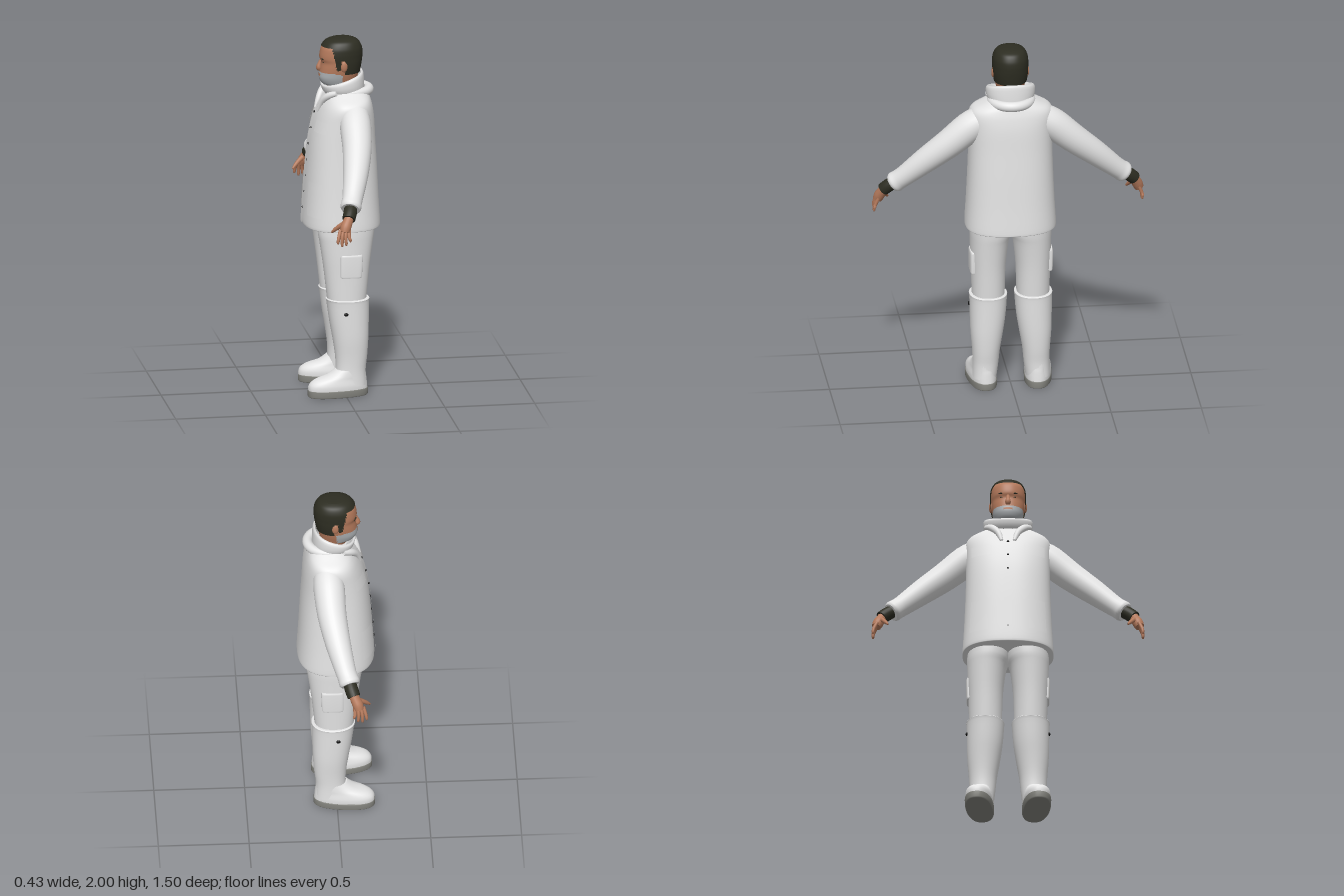
import * as THREE from 'three';

const mat = (name, color) => Object.assign(new THREE.MeshStandardMaterial({ color }), { name });

// Catmull-Rom subdivision of rows of numbers
function refine(rows, sub) {
  if (sub < 2) return rows;
  const out = [];
  for (let i = 0; i < rows.length - 1; i++) {
    const a = rows[Math.max(i - 1, 0)], b = rows[i], c = rows[i + 1], d = rows[Math.min(i + 2, rows.length - 1)];
    for (let k = 0; k < sub; k++) {
      const t = k / sub;
      out.push(b.map((_, j) => {
        const cubic = 3 * (b[j] - c[j]) + d[j] - a[j];
        const square = 2 * a[j] - 5 * b[j] + 4 * c[j] - d[j];
        return b[j] + 0.5 * t * (c[j] - a[j] + t * (square + t * cubic));
      }));
    }
  }
  out.push(rows[rows.length - 1]);
  return out;
}

// Skin a list of rings; paint(centre, angle) gives a material index, or -1 for no face
function skin(rings, paint = () => 0, caps = true) {
  const pos = [], n = rings[0].length, faces = [[], []];
  const all = caps ? [rings[0], ...rings, rings[rings.length - 1]] : rings;
  all.forEach(r => r.forEach(p => pos.push(p.x, p.y, p.z)));
  const last = all.length - 1;
  for (let i = caps ? 1 : 0; i < last - (caps ? 1 : 0); i++) for (let j = 0; j < n; j++) {
    const k = (j + 1) % n, a = i * n + j, b = i * n + k, c = a + n, d = b + n;
    const mid = all[i][j].clone().add(all[i + 1][k]).multiplyScalar(0.5);
    const m = paint(mid, (j + 0.5) / n * Math.PI * 2);
    if (m >= 0) faces[m].push(a, c, b, b, c, d);
  }
  if (caps) [0, last].forEach(i => {
    const c = all[i].reduce((s, p) => s.add(p), new THREE.Vector3()).divideScalar(n);
    pos.push(c.x, c.y, c.z);
    for (let j = 0; j < n; j++) {
      const a = i * n + j, b = i * n + (j + 1) % n, m = pos.length / 3 - 1;
      faces[0].push(...(i ? [a, m, b] : [a, b, m]));
    }
  });
  const g = new THREE.BufferGeometry();
  g.setAttribute('position', new THREE.Float32BufferAttribute(pos, 3));
  g.setIndex(faces.flat());
  let start = 0;
  faces.forEach((f, m) => { if (f.length) g.addGroup(start, f.length, m); start += f.length; });
  g.computeVertexNormals();
  return g;
}

// Upright body: rows are [y, front x, back x, z min, z max, tilt]
function loft(rows, { n = 40, p = 2.2, sub = 1, paint, caps } = {}) {
  const pw = v => Math.sign(v) * Math.abs(v) ** (2 / p);
  return skin(refine(rows, sub).map(([y, f, b, z0, z1, tilt = 0]) => Array.from({ length: n }, (_, j) => {
    const t = j / n * Math.PI * 2, c = pw(Math.cos(t)), s = pw(Math.sin(t));
    return new THREE.Vector3((f + b) / 2 + c * (b - f) / 2, y + tilt * c, (z0 + z1) / 2 + s * (z1 - z0) / 2);
  })), paint, caps);
}

// Round limb along a path: rows are [x, y, z, radius]; axis sets the start of each ring
function limb(rows, { n = 20, axis = [1, 0, 0] } = {}) {
  const R = refine(rows, 3), C = R.map(r => new THREE.Vector3(r[0], r[1], r[2]));
  return skin(R.map((r, i) => {
    const t = C[Math.min(i + 1, C.length - 1)].clone().sub(C[Math.max(i - 1, 0)]).normalize();
    const u = new THREE.Vector3(...axis);
    u.addScaledVector(t, -u.dot(t)).normalize();
    const v = u.clone().cross(t);
    return Array.from({ length: n }, (_, j) => C[i].clone()
      .addScaledVector(u, r[3] * Math.cos(j / n * Math.PI * 2))
      .addScaledVector(v, r[3] * Math.sin(j / n * Math.PI * 2)));
  }));
}

export function createModel() {
  const model = new THREE.Group();
  const white = mat('white cloth', 0xe4e4e4), skinTone = mat('skin', 0xb57a5c), hair = mat('dark hair and knit', 0x2d2d22),
    beard = mat('grey beard', 0xaeb2b5), sole = mat('grey sole', 0x85857f), black = mat('black snaps', 0x111111);
  white.side = hair.side = THREE.DoubleSide;
  const add = (name, geo, m, parent = model) => {
    const o = new THREE.Mesh(geo, m);
    o.name = name;
    parent.add(o);
    return o;
  };
  const ball = (name, m, x, y, z, rx, ry, rz) => {
    const o = add(name, new THREE.SphereGeometry(1, 16, 10), m);
    o.position.set(x, y, z);
    o.scale.set(rx, ry, rz);
  };
  const sym = rows => rows.map(([y, f, b, w, t = 0]) => [y, f, b, -w, w, t]);

  // Jacket with raised placket and pockets
  const coat = [[0.95, -0.207, 0.21, 0.248], [0.965, -0.213, 0.213, 0.251], [1.1, -0.205, 0.205, 0.243], [1.28, -0.192, 0.196, 0.235],
    [1.43, -0.175, 0.187, 0.231], [1.55, -0.148, 0.18, 0.232], [1.62, -0.122, 0.17, 0.233], [1.66, -0.1, 0.16, 0.215],
    [1.69, -0.08, 0.15, 0.165], [1.715, -0.06, 0.135, 0.12]];
  add('jacket', loft(sym(coat), { n: 64, p: 2.5, sub: 4 }), white);
  const raise = d => sym(coat.map(([y, f, b, w]) => [y, f - d, b + d, w + d]));
  const patch = (name, d, y0, y1, a0, a1) => add(name, loft(raise(d), {
    n: 128, p: 2.5, sub: 8, caps: false,
    paint: (c, t) => { const a = Math.abs(t - Math.PI); return c.y > y0 && c.y < y1 && a >= a0 && a < a1 ? 0 : -1; },
  }), white);
  patch('frontPlacket', 0.006, 0.96, 1.64, 0, 0.06);
  patch('chestPocketFlaps', 0.007, 1.5, 1.56, 0.3, 0.95);
  patch('hipPockets', 0.005, 1.03, 1.22, 0.35, 0.95);
  for (let i = 0; i < 7; i++) {
    const y = 1.04 + i * 0.09;
    ball('jacketSnap', black, y < 1.43 ? -0.217 + (y - 0.965) * 0.08 : -0.181 + (y - 1.43) * 0.24, y, 0, 0.005, 0.007, 0.007);
  }

  // Stand-up collar and rolled hood behind the neck
  add('collar', loft(sym([[1.685, -0.085, 0.13, 0.115], [1.715, -0.1, 0.13, 0.132, 0.012], [1.755, -0.108, 0.127, 0.136, 0.03],
    [1.772, -0.108, 0.122, 0.13, 0.036], [1.77, -0.095, 0.11, 0.115, 0.034], [1.69, -0.075, 0.1, 0.095, 0.01]]), { sub: 2, caps: false }), white);
  add('hoodRoll', limb(Array.from({ length: 11 }, (_, i) => {
    const a = (i / 10 - 0.5) * 3.4;
    return [0.035 + 0.12 * Math.cos(a), 1.702, 0.112 * Math.sin(a), 0.012 + 0.016 * Math.cos(a / 1.75)];
  }), { axis: [0, 1, 0] }), white);

  // Head, with a painted beard
  const skull = [[1.68, -0.045, 0.085, 0.062], [1.725, -0.07, 0.085, 0.064], [1.745, -0.105, 0.088, 0.07], [1.775, -0.12, 0.093, 0.08],
    [1.805, -0.119, 0.1, 0.086], [1.835, -0.114, 0.106, 0.09], [1.865, -0.109, 0.111, 0.092], [1.89, -0.117, 0.114, 0.093],
    [1.92, -0.114, 0.115, 0.093], [1.95, -0.104, 0.11, 0.089], [1.975, -0.08, 0.092, 0.073], [1.99, -0.045, 0.06, 0.045], [1.994, -0.02, 0.035, 0.02]];
  add('head', loft(sym(skull), {
    n: 72, sub: 5,
    paint: c => {
      const mouth = c.x < -0.1 && Math.abs(c.z) < 0.024 && c.y > 1.788 && c.y < 1.799;
      return c.x < -0.005 && c.y > 1.735 && c.y < 1.812 - (c.x + 0.12) * 0.05 && !mouth ? 1 : 0;
    },
  }), [skinTone, beard]);
  add('hair', loft(sym(skull.map(([y, f, b, w]) => [y > 1.96 ? y + 0.006 : y, f - 0.006, b + 0.006, w + 0.006])), {
    n: 96, sub: 6, caps: false,
    paint: c => c.y > 1.953 || (c.x > -0.04 && c.y > 1.885) || (c.x > -0.045 + (1.885 - c.y) * 0.2 && c.y > 1.83 && c.x < -0.01)
      || (c.x > 0.012 && c.y > 1.805) ? 0 : -1,
  }), hair);
  add('crown', loft(sym([[1.997, -0.05, 0.065, 0.05], [2, -0.015, 0.03, 0.018]])), hair);
  add('nose', limb([[-0.106, 1.878, 0, 0.008], [-0.116, 1.855, 0, 0.011], [-0.121, 1.832, 0, 0.016], [-0.114, 1.82, 0, 0.012]]), skinTone);

  for (const s of [1, -1]) {
    const side = s > 0 ? 'left' : 'right';
    // Rows are given for +z and mirrored across the middle
    const flip = rows => rows.map(([x, y, z, r]) => [x, y, z * s, r]);
    const half = rows => rows.map(([y, f, b, z0, z1]) => s > 0 ? [y, f, b, z0, z1] : [y, f, b, -z1, -z0]);

    // Face details
    ball(side + 'Ear', skinTone, 0.005, 1.853, s * 0.094, 0.019, 0.031, 0.011);
    ball(side + 'Eye', hair, -0.1, 1.868, s * 0.034, 0.005, 0.004, 0.011);
    ball(side + 'Brow', hair, -0.107, 1.888, s * 0.036, 0.006, 0.004, 0.017);
    add(side + 'Lapel', limb(flip([[-0.04, 1.71, 0.12, 0.014], [-0.08, 1.69, 0.09, 0.02], [-0.11, 1.65, 0.055, 0.018], [-0.133, 1.59, 0.035, 0.01]])), white);

    // Sleeve with a gathered hem, then a knit cuff
    add(side + 'Sleeve', limb(flip([[0.05, 1.59, 0.17, 0.08], [0.046, 1.545, 0.235, 0.086], [0.036, 1.45, 0.345, 0.08], [0.008, 1.345, 0.47, 0.07],
      [-0.025, 1.25, 0.575, 0.058], [-0.038, 1.22, 0.61, 0.056], [-0.046, 1.202, 0.632, 0.058], [-0.05, 1.193, 0.643, 0.05]]), { n: 28 }), white);
    add(side + 'KnitCuff', limb(flip([[-0.045, 1.205, 0.63, 0.036], [-0.056, 1.178, 0.668, 0.037], [-0.068, 1.152, 0.695, 0.036]])), hair);

    // Hand: palm, four fanned fingers and a thumb
    add(side + 'Palm', limb(flip([[-0.062, 1.165, 0.685, 0.026], [-0.076, 1.135, 0.702, 0.028], [-0.088, 1.11, 0.714, 0.03], [-0.095, 1.085, 0.724, 0.026]])), skinTone);
    for (let i = 0; i < 4; i++) {
      const x = -0.118 + i * 0.016, tip = -0.135 + i * 0.023, low = [1.025, 1.01, 1.015, 1.035][i];
      add(side + 'Finger' + (i + 1), limb(flip([[x, 1.1, 0.72, 0.01], [(x + tip) / 2 - 0.004, 1.06, 0.737, 0.0095],
        [tip, low + 0.01, 0.742, 0.008], [tip, low, 0.741, 0.004]]), { n: 10 }), skinTone);
    }
    add(side + 'Thumb', limb(flip([[-0.085, 1.135, 0.7, 0.015], [-0.117, 1.112, 0.685, 0.013], [-0.143, 1.088, 0.67, 0.01], [-0.158, 1.072, 0.66, 0.005]]), { n: 10 }), skinTone);

    // Trouser leg with a thigh pocket
    add(side + 'TrouserLeg', loft(half([[0.5, -0.09, 0.118, 0.034, 0.213], [0.68, -0.11, 0.135, 0.03, 0.218], [0.78, -0.123, 0.147, 0.022, 0.222],
      [0.87, -0.136, 0.16, 0.01, 0.224], [0.92, -0.143, 0.168, -0.004, 0.225], [1, -0.14, 0.175, -0.01, 0.222]]), { sub: 3 }), white);
    add(side + 'ThighPocket', loft(half([[0.68, -0.03, 0.08, 0.19, 0.226], [0.69, -0.035, 0.085, 0.19, 0.229],
      [0.8, -0.035, 0.09, 0.19, 0.231], [0.81, -0.03, 0.085, 0.19, 0.226]]), { p: 4 }), white);

    // Tall boot shaft
    add(side + 'BootShaft', loft(half([[0.06, -0.06, 0.118, 0.08, 0.215], [0.14, -0.05, 0.116, 0.07, 0.212], [0.22, -0.052, 0.125, 0.062, 0.215], [0.32, -0.066, 0.132, 0.045, 0.223],
      [0.42, -0.083, 0.135, 0.03, 0.226], [0.53, -0.098, 0.137, 0.021, 0.228], [0.546, -0.102, 0.139, 0.02, 0.23], [0.55, -0.094, 0.132, 0.028, 0.222]]), { sub: 3 }), white);
    ball(side + 'BootSnap', black, -0.005, 0.475, s * 0.227, 0.012, 0.01, 0.006);

    // Foot and sole, toes turned out
    const foot = new THREE.Group();
    foot.name = side + 'Foot';
    foot.position.set(-0.04, 0, s * 0.157);
    foot.rotation.y = s * 0.12;
    model.add(foot);
    add(side + 'Shoe', loft(sym([[0.035, -0.168, 0.166, 0.073], [0.06, -0.167, 0.164, 0.074], [0.082, -0.152, 0.162, 0.07], [0.1, -0.118, 0.16, 0.066],
      [0.118, -0.06, 0.157, 0.064], [0.15, -0.015, 0.155, 0.06]]), { sub: 2, p: 2.4 }), white, foot);
    add(side + 'Sole', loft(sym([[0, -0.165, 0.165, 0.071], [0.006, -0.17, 0.169, 0.076], [0.036, -0.17, 0.169, 0.077], [0.04, -0.167, 0.166, 0.074]]), { p: 2.4 }), sole, foot);
  }
  return model;
}
